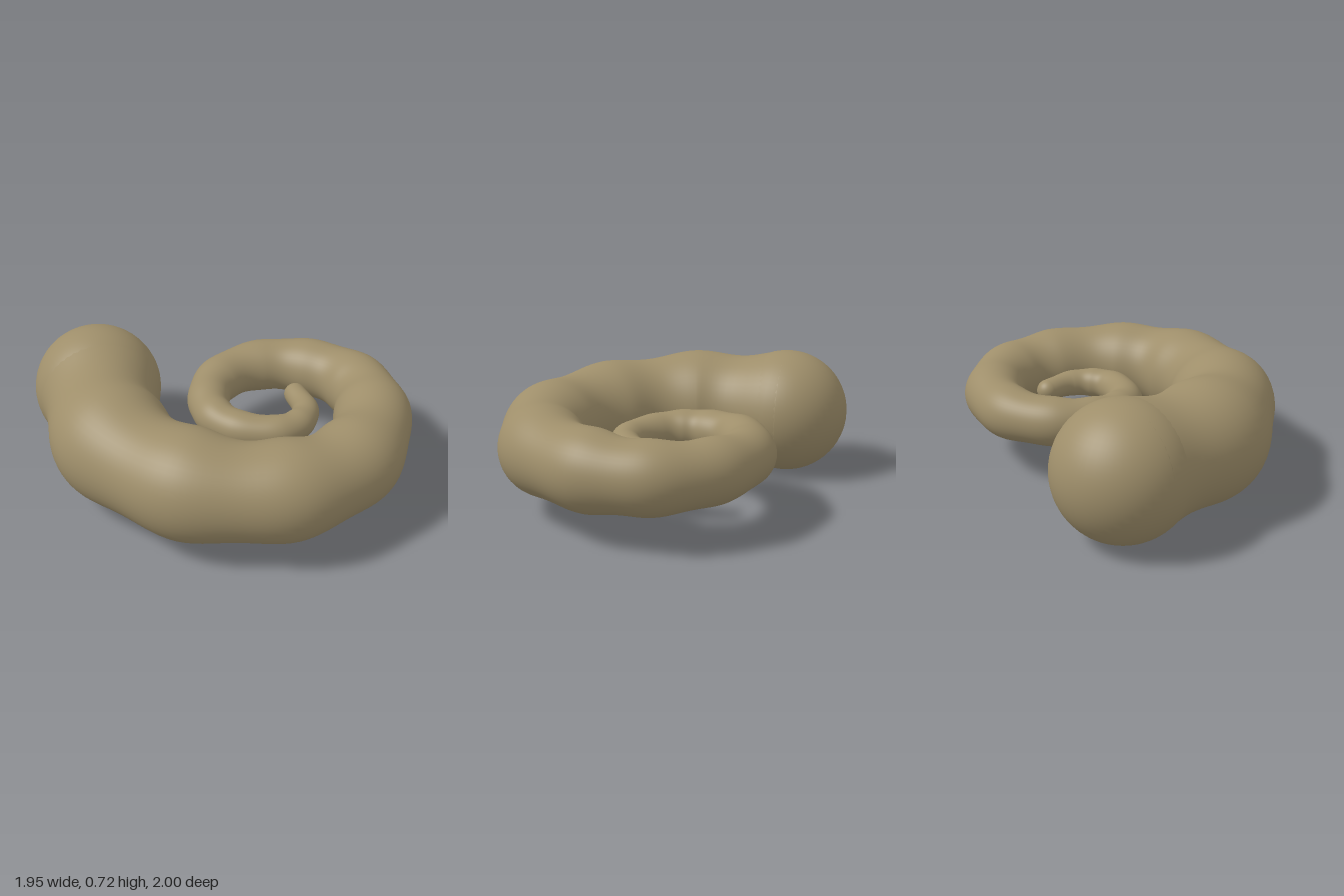
import * as THREE from 'three';

// Bulges along the coil, from head to tail tip: x, z, radius
const BULGES = [
  [-0.47, -0.64, 0.36], [-0.65, -0.09, 0.325], [-0.49, 0.43, 0.295],
  [-0.1, 0.73, 0.265], [0.33, 0.72, 0.24], [0.67, 0.45, 0.215],
  [0.78, 0.15, 0.19], [0.67, -0.15, 0.17], [0.42, -0.33, 0.15],
  [0.14, -0.31, 0.135], [-0.02, -0.16, 0.12], [-0.07, 0, 0.11],
  [-0.02, 0.16, 0.1], [0.14, 0.295, 0.092], [0.28, 0.295, 0.085],
  [0.385, 0.215, 0.075], [0.435, 0.05, 0.063],
];
const MID_Y = 0.3625;
const STEPS = 14; // rings per bulge
const SIDES = 48;

// Tapering tube that narrows slightly between neighbouring bulges
function coilGeometry() {
  const curve = new THREE.CatmullRomCurve3(
    BULGES.map(([x, z]) => new THREE.Vector3(x, MID_Y, z)));
  const spans = BULGES.length - 1;
  const rings = spans * STEPS;
  const positions = [];
  const indices = [];
  for (let i = 0; i <= rings; i++) {
    const c = curve.getPoint(i / rings);
    const t = curve.getTangent(i / rings);
    const k = Math.min(Math.floor(i / STEPS), spans - 1);
    const f = i / STEPS - k;
    const neck = (0.04 + 0.25 * Math.max(0, BULGES[k][2] - 0.1)) * Math.sin(Math.PI * f) ** 2;
    const r = THREE.MathUtils.lerp(BULGES[k][2], BULGES[k + 1][2], f) * (1 - neck);
    for (let j = 0; j < SIDES; j++) {
      const a = (j / SIDES) * Math.PI * 2;
      const out = r * Math.cos(a);
      positions.push(c.x - t.z * out, c.y + r * Math.sin(a), c.z + t.x * out);
      if (i === rings) continue;
      const p = i * SIDES + j;
      const q = i * SIDES + ((j + 1) % SIDES);
      indices.push(p, p + SIDES, q, q, p + SIDES, q + SIDES);
    }
  }
  const geometry = new THREE.BufferGeometry();
  geometry.setAttribute('position', new THREE.Float32BufferAttribute(positions, 3));
  geometry.setIndex(indices);
  geometry.computeVertexNormals();
  return geometry;
}

export function createModel() {
  const group = new THREE.Group();
  group.name = 'coiledTail';
  const skin = new THREE.MeshStandardMaterial({ color: 0x9e8e6a });
  skin.name = 'tan skin';

  const coil = new THREE.Mesh(coilGeometry(), skin);
  coil.name = 'coil';
  group.add(coil);

  // Rounded ends
  const addEnd = (name, [x, z, r]) => {
    const ball = new THREE.Mesh(new THREE.SphereGeometry(r, 48, 32), skin);
    ball.name = name;
    ball.position.set(x, MID_Y, z);
    group.add(ball);
  };
  addEnd('thickEnd', BULGES[0]);
  addEnd('tailTip', BULGES[BULGES.length - 1]);
  return group;
}
